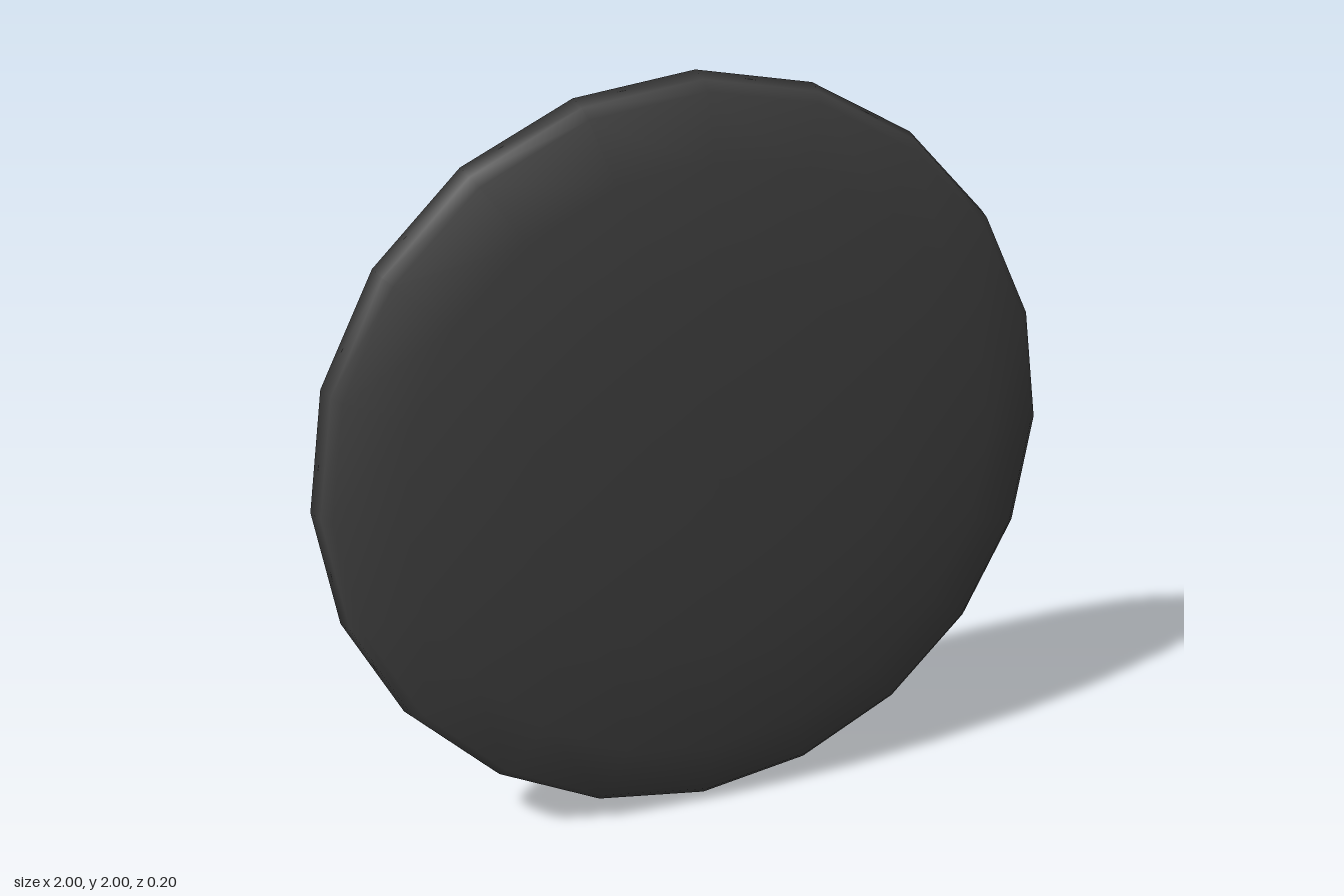
import * as THREE from 'three';

const darkMaterial = new THREE.MeshStandardMaterial({ color: 0x404040, side: THREE.DoubleSide });
const gripMaterial = new THREE.MeshStandardMaterial({ color: 0x8c8c8c });

function addMesh(group, name, geometry, material) {
  const mesh = new THREE.Mesh(geometry, material);
  mesh.name = name;
  group.add(mesh);
  return mesh;
}

export function createModel() {
  const group = new THREE.Group();
  group.name = 'roundShield';

  // Domed dish: hollow back, flat lip, rounded edge, shallow front (radius, z)
  const profile = [
    [0, 0.045], [0.3, 0.042], [0.6, 0.027], [0.78, 0.01], [0.87, -0.015],
    [0.91, -0.063], [1, -0.063],
    [0.985, -0.01], [0.96, 0.016], [0.8, 0.062], [0.5, 0.087], [0.22, 0.097], [0, 0.098],
  ].map(([r, z]) => new THREE.Vector2(r, z));
  const dish = new THREE.LatheGeometry(profile, 20);
  dish.rotateX(Math.PI / 2);
  addMesh(group, 'shieldDish', dish, darkMaterial).position.y = 1;

  // Upright grip post on the back
  const post = addMesh(group, 'gripPost', new THREE.CylinderGeometry(0.082, 0.082, 0.145, 16), gripMaterial);
  post.position.set(0.59, 1.073, -0.017);

  // Tapered arm bar running across the hollow
  const base = new THREE.Vector3(0.57, 1.03, -0.072);
  const tip = new THREE.Vector3(-0.74, 1.03, -0.06);
  const along = tip.clone().sub(base);
  const bar = addMesh(group, 'armBar', new THREE.ConeGeometry(0.028, along.length(), 12), gripMaterial);
  bar.position.copy(base).add(tip).multiplyScalar(0.5);
  bar.quaternion.setFromUnitVectors(new THREE.Vector3(0, 1, 0), along.normalize());

  return group;
}
